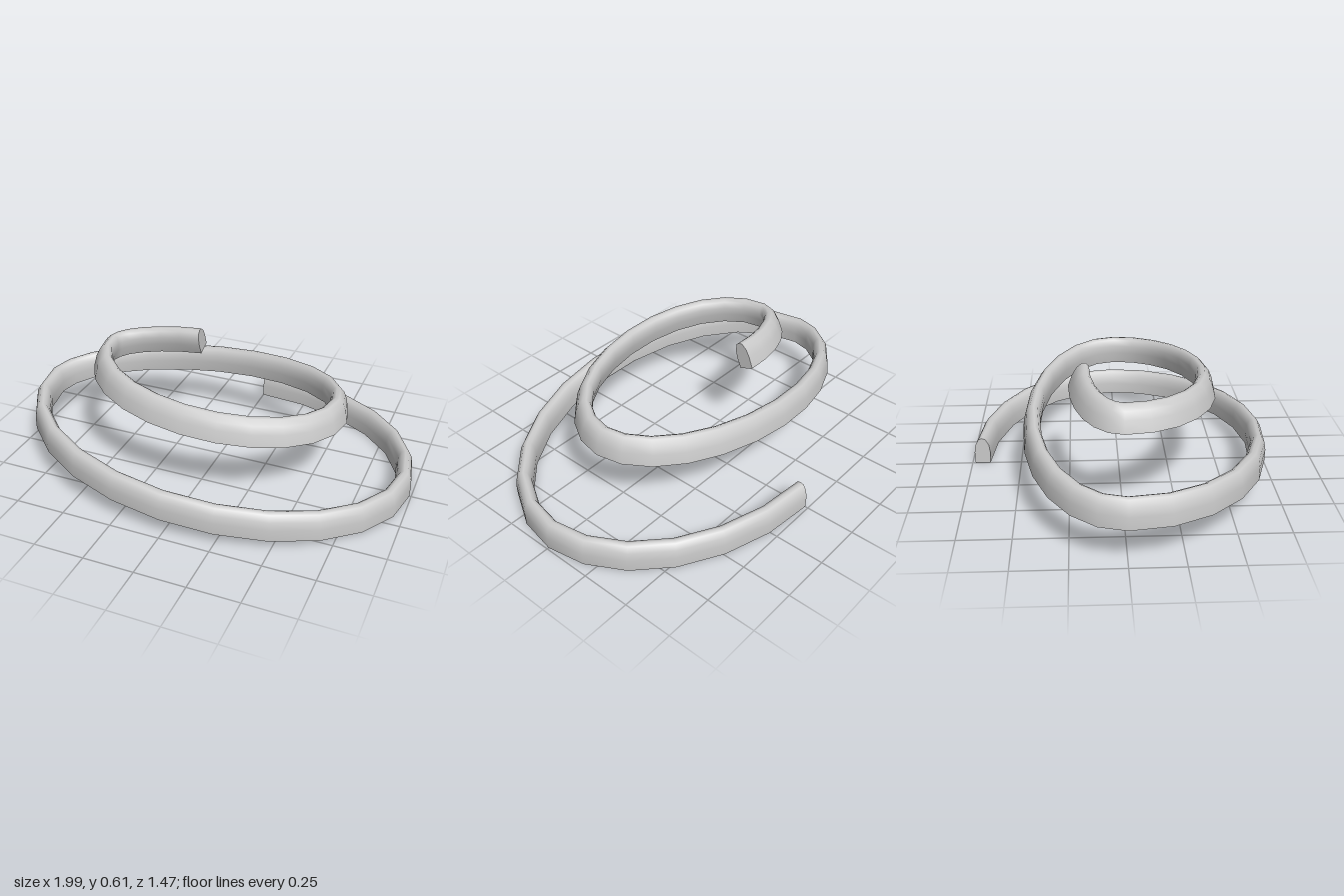
import * as THREE from 'three';
import { toCreasedNormals } from 'three/addons/utils/BufferGeometryUtils.js';

// Spiral path as joined elliptical arcs; q counts quarter turns.
// Each arc climbs evenly in x, so it lies in a tilted plane.
const ARCS = [
  { q0: 0, q1: 1, cx: 0, a: 0.953, b: 0.697, y0: 0, y1: 0 },
  { q0: 1, q1: 3, cx: -0.004, a: 0.957, b: 0.692, y0: 0, y1: 0.177 },
  { q0: 3, q1: 5, cx: -0.172, a: 0.789, b: 0.433, y0: 0.177, y1: 0.333 },
  { q0: 5, q1: 7, cx: -0.0055, a: 0.6225, b: 0.443, y0: 0.333, y1: 0.445 },
  { q0: 7, q1: 8, cx: -0.18, a: 0.448, b: 0.213, y0: 0.445, y1: 0.48 },
];
const STEPS = 6; // segments per quarter turn

// Cross-section: flat bottom, rounded top (u outward, v up)
const PROFILE = [
  [-0.038, 0], [0.038, 0], [0.04, 0.06], [0.034, 0.1], [0.018, 0.13],
  [0, 0.137], [-0.018, 0.13], [-0.034, 0.1], [-0.04, 0.06],
];

// One ring of the band; it leans inward more and more towards the top
function ring(arc, q) {
  const t = q * Math.PI / 2;
  const x = arc.cx + arc.a * Math.sin(t);
  const z = -arc.b * Math.cos(t);
  const xAt = (k) => arc.cx + arc.a * Math.sin(k * Math.PI / 2);
  const f = (x - xAt(arc.q0)) / (xAt(arc.q1) - xAt(arc.q0));
  const y = THREE.MathUtils.lerp(arc.y0, arc.y1, f);
  const out = new THREE.Vector2(arc.b * Math.sin(t), -arc.a * Math.cos(t)).normalize();
  const lean = THREE.MathUtils.degToRad(22) * Math.max(0, (q - 2) / 6);
  const c = Math.cos(lean), s = Math.sin(lean);
  return PROFILE.map(([u, v]) => {
    const r = u * c - v * s;
    return [x + out.x * r, y + v * c + u * s, z + out.y * r];
  });
}

function bandGeometry() {
  const rings = [ring(ARCS[0], 0)];
  for (const arc of ARCS) {
    const n = (arc.q1 - arc.q0) * STEPS;
    for (let i = 1; i <= n; i++) rings.push(ring(arc, arc.q0 + i / STEPS));
  }
  const m = PROFILE.length, last = (rings.length - 1) * m;
  const index = [];
  for (let i = 0; i < rings.length - 1; i++) {
    for (let j = 0; j < m; j++) {
      const k = (j + 1) % m;
      const a = i * m + j, b = i * m + k, c = b + m, d = a + m;
      index.push(a, b, c, a, c, d);
    }
  }
  // End caps
  for (let j = 1; j < m - 1; j++) {
    index.push(0, j + 1, j, last, last + j, last + j + 1);
  }
  const g = new THREE.BufferGeometry();
  g.setAttribute('position', new THREE.Float32BufferAttribute(rings.flat(2), 3));
  g.setIndex(index);
  return toCreasedNormals(g, 1.1);
}

export function createModel() {
  const group = new THREE.Group();
  group.name = 'spiral';
  const band = new THREE.Mesh(bandGeometry(), new THREE.MeshStandardMaterial({ color: 0xcccccc }));
  band.name = 'spiralBand';
  group.add(band);
  return group;
}
